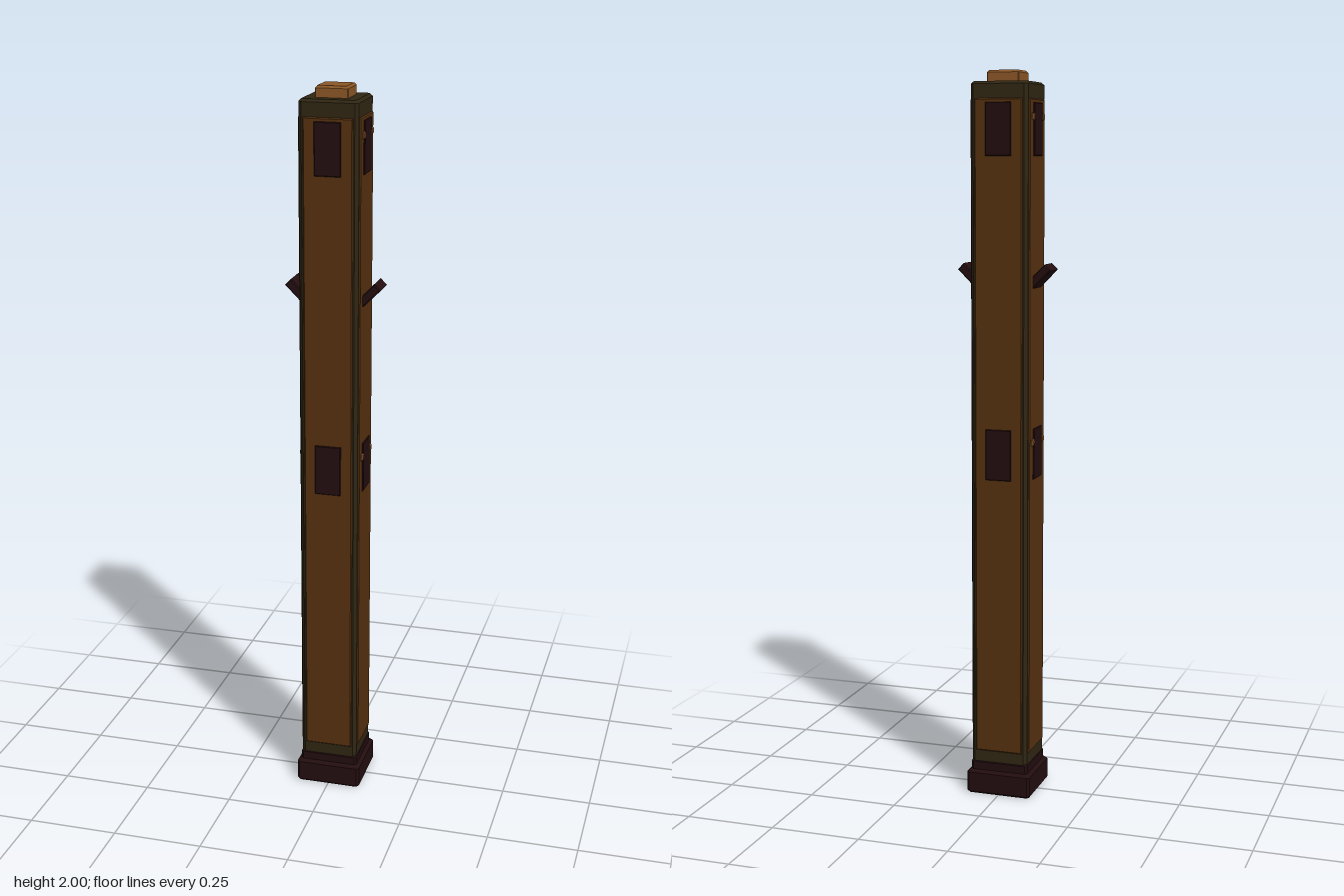
import * as THREE from 'three';

const mat = (name, color) => {
  const m = new THREE.MeshStandardMaterial({ color });
  m.name = name;
  return m;
};

// Box with chamfered edges on all sides, centred on the origin
function chamferBox(w, h, d, c) {
  const x = w / 2 - c, y = h / 2 - c;
  const shape = new THREE.Shape([
    new THREE.Vector2(-x, -y), new THREE.Vector2(x, -y),
    new THREE.Vector2(x, y), new THREE.Vector2(-x, y)]);
  const g = new THREE.ExtrudeGeometry(shape, {
    depth: d - 2 * c, bevelEnabled: true, bevelSegments: 1, bevelSize: c, bevelThickness: c });
  g.translate(0, 0, c - d / 2);
  return g;
}

// Square prism of stacked levels [y, halfWidth, cornerCut], flat shaded
function squareStack(levels) {
  const pos = [];
  const rings = levels.map(([y, r, c]) => {
    const k = r - c;
    return [[k, r], [r, k], [r, -k], [k, -r], [-k, -r], [-r, -k], [-r, k], [-k, r]].map(([x, z]) => [x, y, z]);
  });
  const tri = (...p) => p.forEach((v) => pos.push(...v));
  for (let i = 0; i < rings.length - 1; i++) {
    for (let j = 0; j < 8; j++) {
      const k = (j + 1) % 8, a = rings[i], b = rings[i + 1];
      tri(a[j], a[k], b[k]);
      tri(a[j], b[k], b[j]);
    }
  }
  const low = rings[0], top = rings[rings.length - 1];
  for (let j = 1; j < 7; j++) {
    tri(low[0], low[j + 1], low[j]);
    tri(top[0], top[j], top[j + 1]);
  }
  const g = new THREE.BufferGeometry();
  g.setAttribute('position', new THREE.Float32BufferAttribute(pos, 3));
  g.computeVertexNormals();
  return g;
}

export function createModel() {
  const model = new THREE.Group();
  model.name = 'post';
  const panelWood = mat('brown wood', 0x54300f);
  const frameWood = mat('dark olive', 0x2f2613);
  const darkMetal = mat('dark maroon', 0x230d0f);
  const tan = mat('tan', 0x8a5626);

  const add = (parent, name, geometry, material, x = 0, y = 0, z = 0) => {
    const m = new THREE.Mesh(geometry, material);
    m.name = name;
    m.position.set(x, y, z);
    parent.add(m);
    return m;
  };

  // Foot, core and top block
  add(model, 'foot', squareStack([
    [0, 0.088, 0.006], [0.005, 0.092, 0.007], [0.06, 0.092, 0.007], [0.066, 0.086, 0.007],
    [0.068, 0.082, 0.006], [0.09, 0.082, 0.006], [0.096, 0.077, 0.006]]), darkMetal);
  add(model, 'core', squareStack([
    [0.08, 0.08, 0.009], [1.963, 0.08, 0.009], [1.97, 0.073, 0.006]]), frameWood);
  add(model, 'topBlock', squareStack([
    [1.965, 0.044, 0.002], [1.994, 0.044, 0.002], [2.0, 0.039, 0.001]]), tan);

  // Four faces, each with a raised panel and two plates
  const panelGeo = chamferBox(0.134, 1.8, 0.012, 0.003);
  const plateGeo = chamferBox(0.072, 0.14, 0.008, 0.002);
  const pegGeo = chamferBox(0.018, 0.018, 0.014, 0.003);
  for (let i = 0; i < 4; i++) {
    const side = new THREE.Group();
    side.name = ['front', 'left', 'back', 'right'][i] + 'Face';
    side.rotation.y = i * Math.PI / 2;
    model.add(side);
    add(side, 'panel', panelGeo, panelWood, 0, 1.025, 0.0775);
    for (const y of [0.97, 1.845]) {
      add(side, 'plate', plateGeo, darkMetal, 0, y, 0.083);
      // Small pegs beside the plates on the two flanks
      if (i % 2) for (const s of [-1, 1]) {
        add(side, 'peg', pegGeo, tan, s * 0.042, y + 0.033, 0.082);
      }
    }
  }

  // Slanted rungs on both flanks
  const rungGeo = chamferBox(0.085, 0.024, 0.076, 0.003);
  for (const s of [-1, 1]) {
    add(model, s > 0 ? 'leftRung' : 'rightRung', rungGeo, darkMetal, s * 0.093, 1.449, 0)
      .rotation.z = s * Math.PI / 4;
  }
  return model;
}
